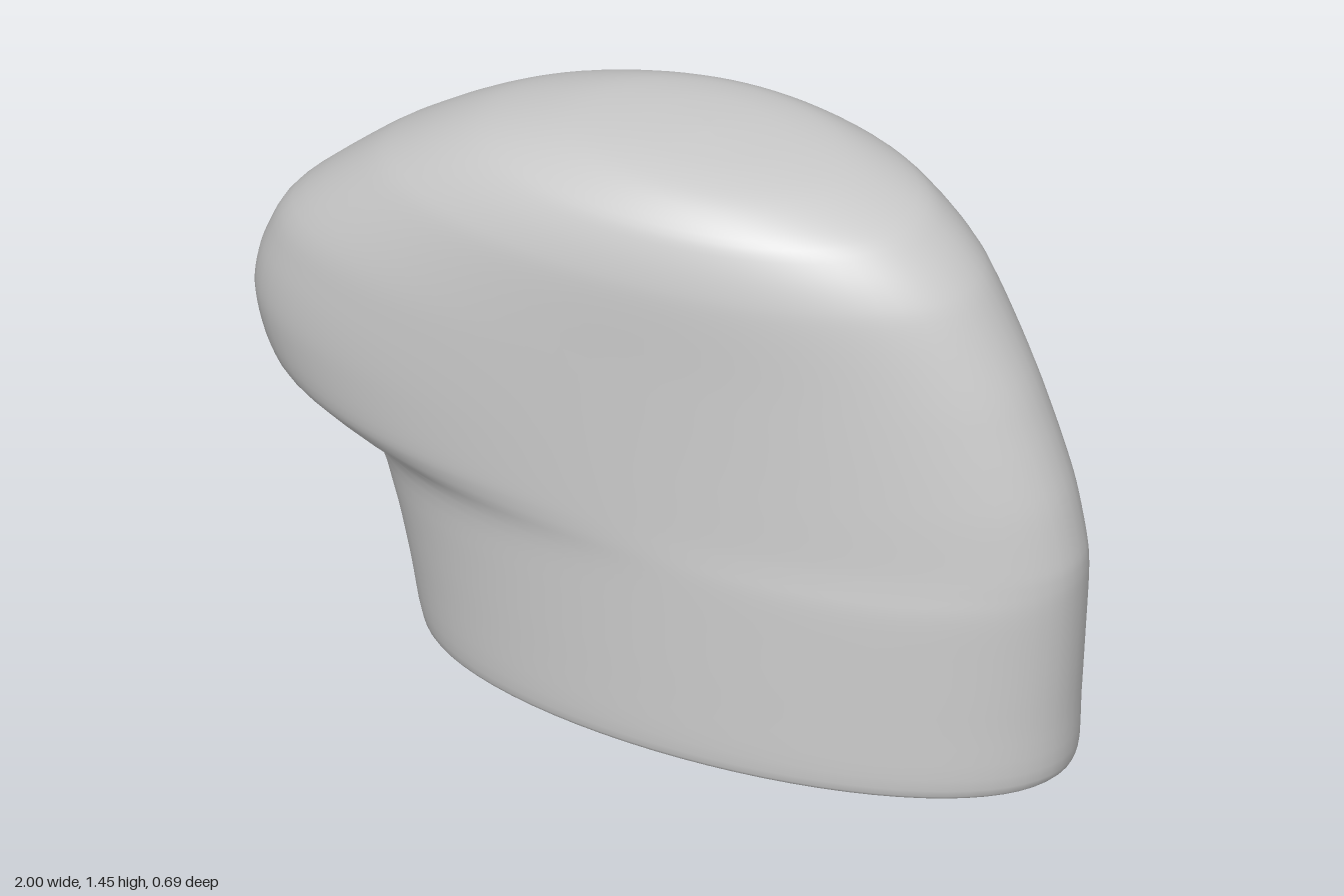
import * as THREE from 'three';
import { mergeVertices } from 'three/addons/utils/BufferGeometryUtils.js';

// Horizontal cross-sections from base to crown: [y, right edge x, left edge x, half depth]
const SECTIONS = [
  [0.0, 0.19, 0.19, 0.0],
  [0.003, -0.2, 0.58, 0.17],
  [0.01, -0.47, 0.84, 0.285],
  [0.02, -0.56, 0.93, 0.325],
  [0.05, -0.59, 0.97, 0.343],
  [0.2, -0.62, 0.98, 0.345],
  [0.36, -0.66, 0.99, 0.345],
  [0.49, -0.715, 0.998, 0.345],
  [0.555, -0.86, 1.0, 0.345],
  [0.61, -0.95, 0.995, 0.345],
  [0.72, -0.995, 0.973, 0.345],
  [0.81, -1.0, 0.945, 0.345],
  [0.91, -0.972, 0.908, 0.345],
  [1.02, -0.91, 0.862, 0.345],
  [1.176, -0.74, 0.78, 0.345],
  [1.25, -0.64, 0.728, 0.338],
  [1.32, -0.525, 0.655, 0.319],
  [1.37, -0.415, 0.58, 0.292],
  [1.417, -0.257, 0.44, 0.235],
  [1.438, -0.12, 0.31, 0.165],
  [1.447, 0.0, 0.18, 0.08],
  [1.45, 0.085, 0.085, 0.0],
];
const SIDES = 72;
const STEPS = 4;

const spline = (points) => new THREE.CatmullRomCurve3(points, false, 'catmullrom', 0.5);

// Smooth skin through rounded cross-sections
function loft(sections) {
  const edges = spline(sections.map(([y, a, b]) => new THREE.Vector3(a, y, b)));
  const depth = spline(sections.map((s) => new THREE.Vector3(s[3], 0, 0)));
  const rows = (sections.length - 1) * STEPS;
  const positions = [];
  const index = [];
  for (let i = 0; i <= rows; i++) {
    const e = edges.getPoint(i / rows);
    const hz = depth.getPoint(i / rows).x;
    const cx = (e.x + e.z) / 2;
    const hx = (e.z - e.x) / 2;
    for (let j = 0; j < SIDES; j++) {
      const a = (j / SIDES) * Math.PI * 2;
      // Sides slightly fuller than a true ellipse
      const c = Math.cos(a);
      const s = Math.sin(a);
      const z = Math.sign(s) * Math.pow(Math.abs(s), 0.95);
      positions.push(cx + hx * c, e.y, hz * z);
      if (i === rows) continue;
      const p = i * SIDES + j;
      const q = i * SIDES + ((j + 1) % SIDES);
      if (i < rows - 1) index.push(p, p + SIDES, q + SIDES);
      if (i > 0) index.push(p, q + SIDES, q);
      if (i === rows - 1) index.push(p, p + SIDES, q);
    }
  }
  const geometry = new THREE.BufferGeometry();
  geometry.setAttribute('position', new THREE.Float32BufferAttribute(positions, 3));
  geometry.setIndex(index);
  const merged = mergeVertices(geometry, 1e-5);
  merged.computeVertexNormals();
  return merged;
}

export function createModel() {
  const group = new THREE.Group();
  group.name = 'roundedHead';
  const material = new THREE.MeshStandardMaterial({ color: 0xcccccc });
  // Overhanging rounded head flowing into its oval base
  const body = new THREE.Mesh(loft(SECTIONS), material);
  body.name = 'body';
  group.add(body);
  return group;
}
